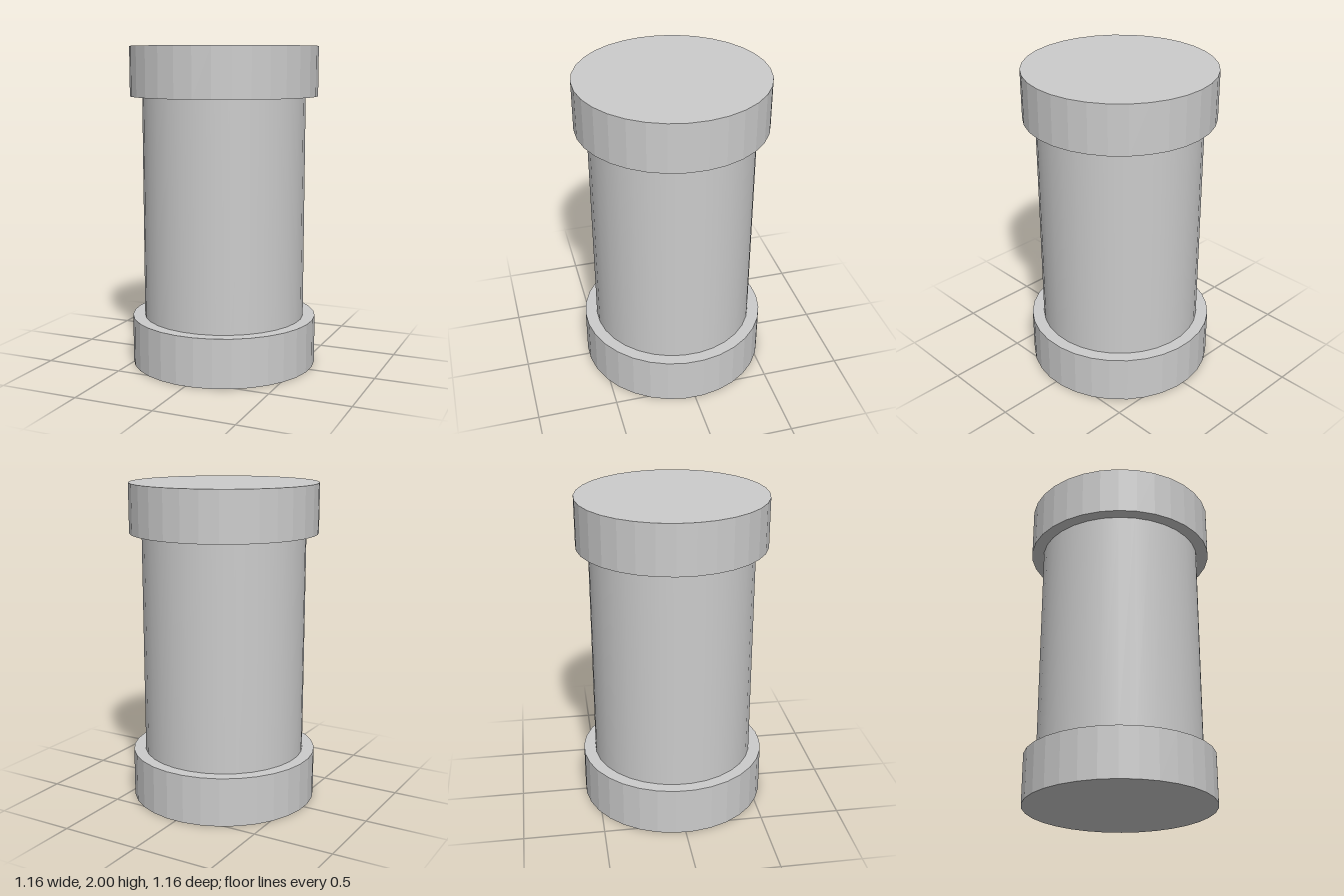
import * as THREE from 'three';

const SIDES = 32;
const TURN = 0.09; // slight turn of the facets about the axis
const COLLAR_RADIUS = 0.583;
const COLLAR_HEIGHT = 0.305;
const BODY_RADIUS = 0.507;

export function createModel() {
  const group = new THREE.Group();
  const smooth = new THREE.MeshStandardMaterial({ color: 0xcccccc });
  const faceted = new THREE.MeshStandardMaterial({ color: 0xcccccc, flatShading: true });

  // Smooth central column, running between the two collars
  const bodyHeight = 2 - 2 * COLLAR_HEIGHT;
  const body = new THREE.Mesh(
    new THREE.CylinderGeometry(BODY_RADIUS, BODY_RADIUS, bodyHeight, SIDES, 1, true, TURN),
    smooth
  );
  body.name = 'column';
  body.position.y = 1;
  group.add(body);

  // Faceted, closed collars at both ends
  const collarGeometry = new THREE.CylinderGeometry(
    COLLAR_RADIUS, COLLAR_RADIUS, COLLAR_HEIGHT, SIDES, 1, false, TURN
  );
  for (const [name, y] of [['baseCollar', COLLAR_HEIGHT / 2], ['topCollar', 2 - COLLAR_HEIGHT / 2]]) {
    const collar = new THREE.Mesh(collarGeometry, faceted);
    collar.name = name;
    collar.position.y = y;
    group.add(collar);
  }

  return group;
}
